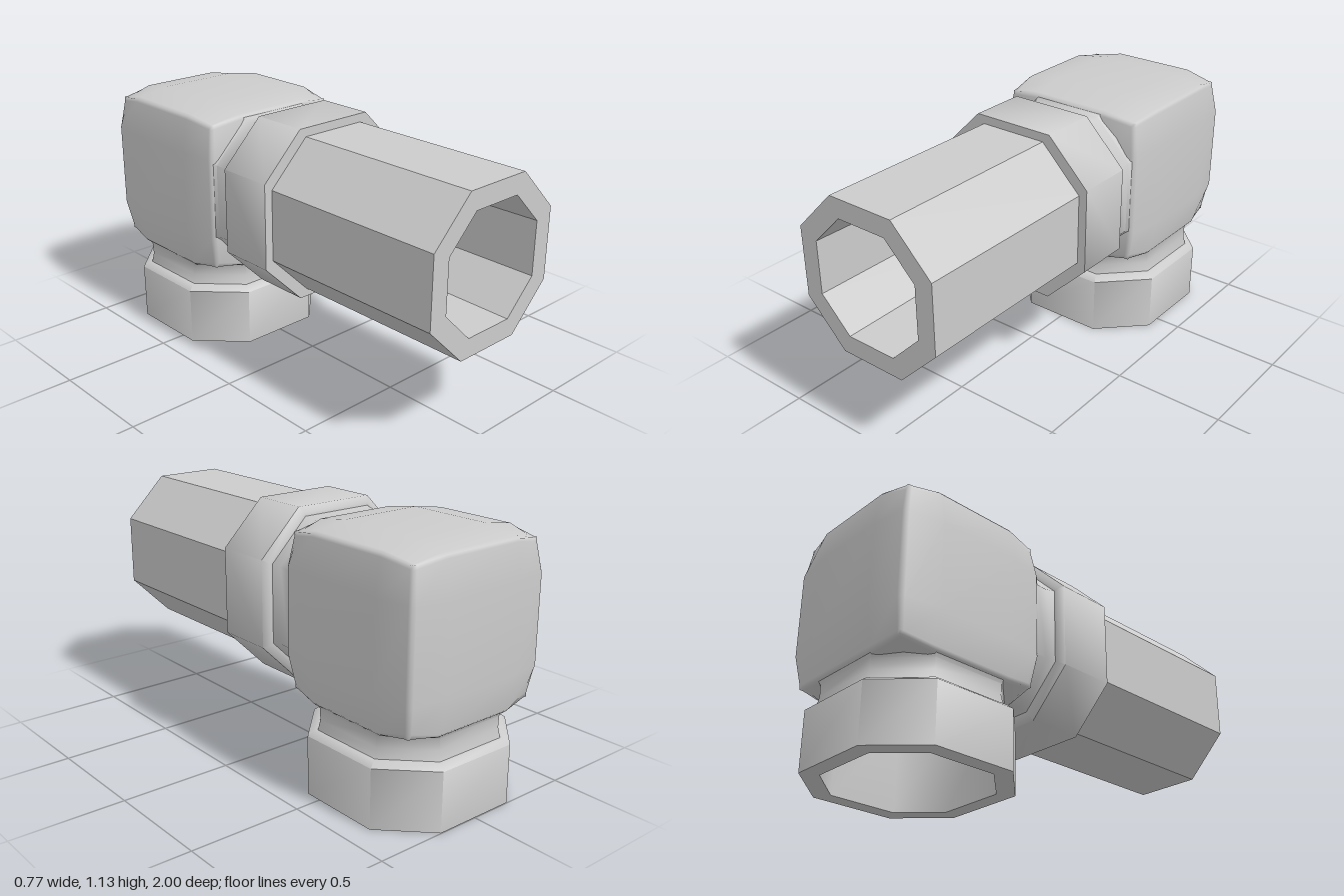
import * as THREE from 'three';
import { mergeVertices, toCreasedNormals } from 'three/addons/utils/BufferGeometryUtils.js';

// Eight-sided loft along +z: each ring is [half width, z], corner = ratio of half width
function octagonLoft(rings, corner, crease) {
  const pos = [], index = [];
  for (const [h, z] of rings) {
    const c = h * corner;
    for (const [x, y] of [[h, -c], [h, c], [c, h], [-c, h], [-h, c], [-h, -c], [-c, -h], [c, -h]]) pos.push(x, y, z);
  }
  for (let i = 0; i < rings.length - 1; i++) {
    for (let j = 0; j < 8; j++) {
      const a = i * 8 + j, b = i * 8 + (j + 1) % 8;
      index.push(a, b, b + 8, a, b + 8, a + 8);
    }
  }
  const g = new THREE.BufferGeometry();
  g.setAttribute('position', new THREE.Float32BufferAttribute(pos, 3));
  g.setIndex(index);
  return toCreasedNormals(g, crease);
}

// Cube with slightly bulging sides, narrow chamfers and cut corners
function bodyGeometry() {
  let g = new THREE.BoxGeometry(5, 5, 5, 5, 5, 5);
  g.deleteAttribute('uv');
  g.deleteAttribute('normal');
  g = mergeVertices(g);
  const p = g.attributes.position;
  for (let i = 0; i < p.count; i++) {
    const v = [p.getX(i), p.getY(i), p.getZ(i)];
    const level = v.map(c => Math.round(Math.abs(c) - 0.5)); // 0 middle, 1 near edge, 2 on the side
    const outer = level.filter(l => l > 0).length;
    const sides = level.filter(l => l === 2).length;
    const size = l => {
      if (l === 0) return 0.19;
      if (outer === 1) return 0.383;
      if (outer === 2) return sides === 2 ? 0.351 : l === 2 ? 0.36 : 0.34;
      return l === 2 ? 0.332 : 0.315;
    };
    p.setXYZ(i, ...v.map((c, k) => Math.sign(c) * size(level[k])));
  }
  g.computeVertexNormals();
  return g;
}

export function createModel() {
  const material = new THREE.MeshStandardMaterial({ color: 0xcccccc });
  const model = new THREE.Group();
  model.name = 'pipeElbow';

  // All parts share the centre of the elbow body
  const add = (name, geometry, rotationX = 0) => {
    const mesh = new THREE.Mesh(geometry, material);
    mesh.name = name;
    mesh.position.set(0, 0.745, -0.615);
    mesh.rotation.x = rotationX;
    model.add(mesh);
  };

  add('elbowBody', bodyGeometry());

  // Flared neck, bevelled collar and blind bore, used on the front and the bottom
  const socket = octagonLoft([
    [0.357, 0.335], [0.337, 0.37], [0.336, 0.42], [0.345, 0.463], [0.358, 0.465],
    [0.383, 0.485], [0.383, 0.745], [0.312, 0.745], [0.305, 0.39], [0.001, 0.39],
  ], 0.495, 0.9);
  add('frontSocket', socket);
  add('bottomSocket', socket, Math.PI / 2);

  // Straight pipe in the front socket, hollow with a slight taper inside
  add('pipe', octagonLoft([
    [0.345, 0.7], [0.345, 1.615], [0.26, 1.615], [0.242, 0.4], [0.001, 0.4],
  ], 0.455, 0.5));

  return model;
}
